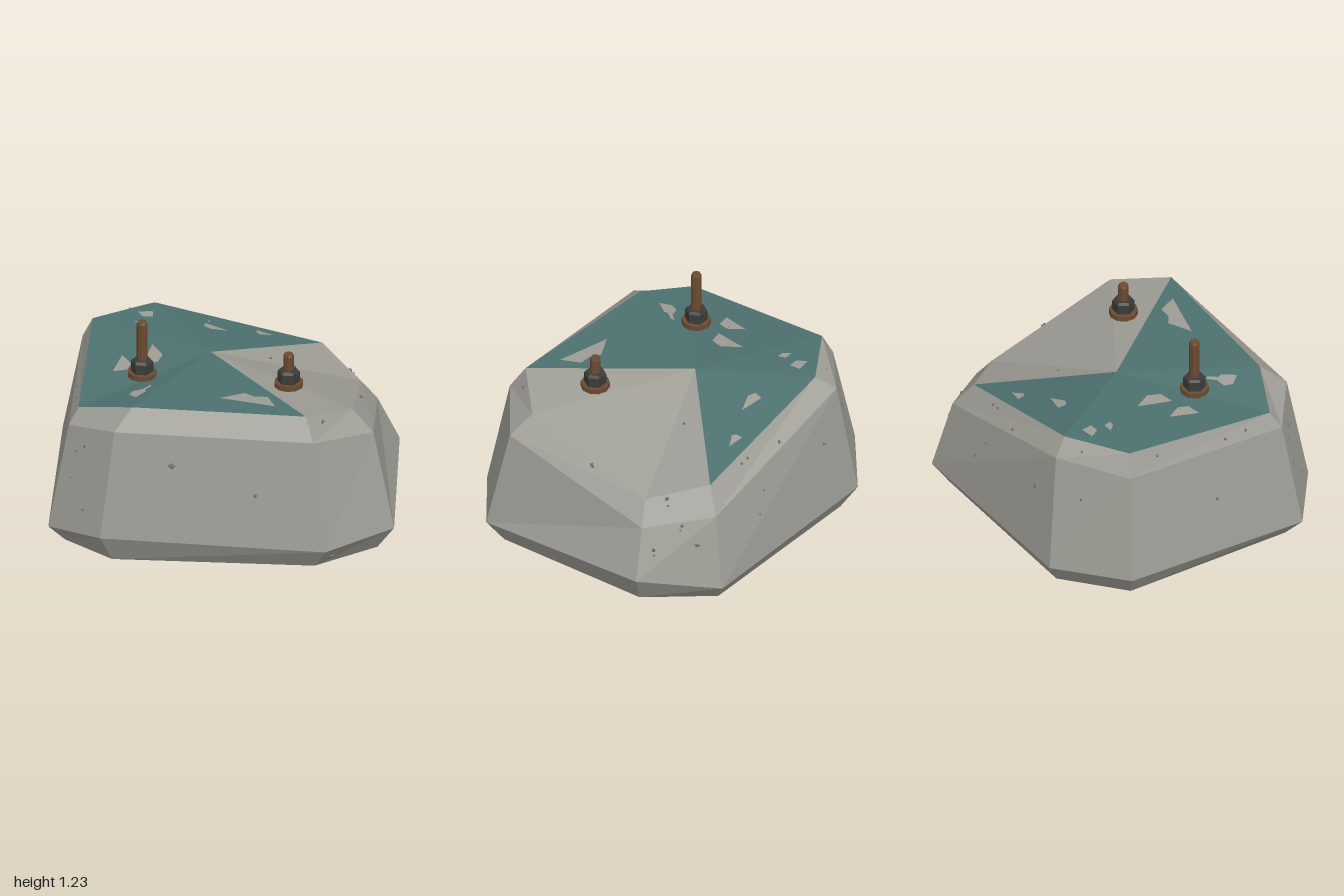
import * as THREE from 'three';

const mat = (name, color) => {
  const m = new THREE.MeshStandardMaterial({ color });
  m.name = name;
  return m;
};

// Eight-cornered rings, counterclockwise from above, from the base upward: [x, y, z]
const RINGS = [
  [[0.9, 0, 0.48], [0.83, 0, -0.47], [0.53, 0, -0.8], [-0.58, 0, -0.76],
    [-0.9, 0, -0.46], [-0.87, 0, 0.58], [-0.58, 0, 0.79], [0.57, 0, 0.75]],
  [[1, 0.15, 0.53], [0.92, 0.18, -0.52], [0.59, 0.12, -0.88], [-0.64, 0.14, -0.84],
    [-1, 0.15, -0.51], [-0.96, 0.11, 0.64], [-0.64, 0.17, 0.87], [0.64, 0.13, 0.83]],
  [[0.875, 0.72, 0.46], [0.8, 0.46, -0.46], [0.53, 0.54, -0.78], [-0.56, 0.83, -0.75],
    [-0.88, 0.77, -0.45], [-0.85, 0.73, 0.57], [-0.57, 0.8, 0.77], [0.56, 0.77, 0.73]],
  [[0.75, 0.83, 0.4], [0.71, 0.59, -0.41], [0.46, 0.68, -0.68], [-0.49, 0.9, -0.65],
    [-0.82, 0.9, -0.42], [-0.8, 0.82, 0.52], [-0.48, 0.9, 0.645], [0.51, 0.9, 0.655]],
];
const PEAK = [-0.11, 0.9, -0.08];

// Bare spots in the paint: [x, z] outlines
const CHIPS = [
  [[-0.575, -0.52], [-0.49, -0.535], [-0.48, -0.47], [-0.54, -0.465]],
  [[-0.58, -0.4], [-0.52, -0.405], [-0.505, -0.36], [-0.54, -0.36]],
  [[-0.185, -0.51], [-0.05, -0.48], [-0.15, -0.44], [-0.19, -0.46]],
  [[0.095, -0.605], [0.19, -0.59], [0.12, -0.55], [0.1, -0.565]],
  [[-0.45, -0.145], [-0.38, -0.04], [-0.4, 0.04], [-0.485, 0.065]],
  [[-0.61, -0.03], [-0.55, 0.06], [-0.565, 0.125], [-0.645, 0.145]],
  [[-0.41, 0.33], [-0.4, 0.35], [-0.435, 0.4], [-0.425, 0.42], [-0.475, 0.5],
    [-0.52, 0.445], [-0.505, 0.395], [-0.45, 0.38]],
  [[0.135, 0.41], [0.19, 0.445], [0.27, 0.445], [0.325, 0.555], [0, 0.485]],
];

// Stones showing on each side, as [a, b, radius]
const STONES = {
  front: [[-0.24, 0.61, 0.024], [0.24, 0.45, 0.017], [-0.75, 0.65, 0.013], [-0.8, 0.6, 0.01],
    [-0.75, 0.29, 0.013], [-0.83, 0.44, 0.008], [-0.69, 0.04, 0.013], [0.67, 0.06, 0.015]],
  right: [[0.74, 0.06, 0.014], [0.6, 0.84, 0.012], [-0.04, 0.68, 0.014], [-0.51, 0.6, 0.018],
    [-0.53, 0.57, 0.01], [-0.55, 0.35, 0.015], [-0.73, 0.38, 0.015], [-0.64, 0.46, 0.01],
    [0.29, 0.11, 0.008], [-0.62, 0.03, 0.012]],
  top: [[-0.7, -0.67, 0.012], [-0.63, -0.62, 0.01], [-0.07, -0.74, 0.013], [0.16, -0.7, 0.012],
    [0.21, -0.7, 0.013], [0.13, -0.8, 0.01], [0.63, -0.74, 0.012], [0.66, -0.64, 0.013],
    [0.81, -0.56, 0.011], [0.75, -0.05, 0.014], [0.21, -0.27, 0.012], [0.6, 0.59, 0.013],
    [-0.17, -0.555, 0.014], [-0.57, 0.065, 0.009], [-0.84, -0.25, 0.012], [-0.84, 0.2, 0.012],
    [-0.83, 0.34, 0.012]],
  left: [[0.1, 0.45, 0.013]],
  back: [[0.2, 0.4, 0.012], [-0.4, 0.55, 0.014]],
};

// Ray origin and direction for each side
const CAST = {
  front: (a, b) => [[a, b, 3], [0, 0, -1]],
  back: (a, b) => [[a, b, -3], [0, 0, 1]],
  right: (a, b) => [[3, b, a], [-1, 0, 0]],
  left: (a, b) => [[-3, b, a], [1, 0, 0]],
  top: (a, b) => [[a, 3, b], [0, -1, 0]],
};

function facets(triangles) {
  const g = new THREE.BufferGeometry();
  g.setAttribute('position', new THREE.Float32BufferAttribute(triangles.flat(2), 3));
  g.computeVertexNormals();
  return g;
}

export function createModel() {
  const model = new THREE.Group();
  model.name = 'anchorBlock';
  const concrete = mat('concrete', 0x9c9b94);
  const paint = mat('teal paint', 0x4c706e);
  const stone = mat('stone', 0x6e6d68);
  const rust = mat('rust', 0x6b4a30);
  const steel = mat('dark steel', 0x3b3b3a);
  const add = (parent, name, geometry, material) => {
    const mesh = new THREE.Mesh(geometry, material);
    mesh.name = name;
    parent.add(mesh);
    return mesh;
  };

  // Block: side bands, underside, and a top fan split into bare and painted facets
  const bare = [], painted = [];
  for (let i = 0; i < 8; i++) {
    const j = (i + 1) % 8;
    for (let k = 0; k < 3; k++) {
      const lo = RINGS[k], hi = RINGS[k + 1];
      bare.push([lo[i], lo[j], hi[j]], [lo[i], hi[j], hi[i]]);
    }
    bare.push([[0, 0, 0], RINGS[0][j], RINGS[0][i]]);
    const isPainted = i >= 2 && i <= 6;
    (isPainted ? painted : bare).push([PEAK, RINGS[3][i], RINGS[3][j]]);
  }
  const surfaces = [
    add(model, 'concreteBlock', facets(bare), concrete),
    add(model, 'paintedTop', facets(painted), paint),
  ];

  const ray = new THREE.Raycaster();
  const hit = (side, a, b) => {
    const [from, dir] = CAST[side](a, b);
    ray.set(new THREE.Vector3(...from), new THREE.Vector3(...dir));
    return ray.intersectObjects(surfaces)[0];
  };

  // Paint chips laid just above the painted top
  const chips = new THREE.Group();
  chips.name = 'paintChips';
  model.add(chips);
  for (const outline of CHIPS) {
    const shape = new THREE.Shape(outline.map(([x, z]) => new THREE.Vector2(x, -z)));
    const g = new THREE.ShapeGeometry(shape).rotateX(-Math.PI / 2);
    const p = g.attributes.position;
    for (let i = 0; i < p.count; i++) {
      const h = hit('top', p.getX(i), p.getZ(i));
      p.setY(i, (h ? h.point.y : 0.9) + 0.004);
    }
    g.computeVertexNormals();
    add(chips, 'paintChip', g, concrete);
  }

  // Stones half sunk in the surface
  const stones = new THREE.Group();
  stones.name = 'stones';
  model.add(stones);
  let n = 0;
  for (const [side, list] of Object.entries(STONES)) {
    for (const [a, b, r] of list) {
      const h = hit(side, a, b);
      if (!h) continue;
      const s = add(stones, 'stone', new THREE.OctahedronGeometry(r), stone);
      s.position.copy(h.point);
      s.rotation.set(n * 1.3, n * 2.1, n * 0.7);
      s.scale.set(1, 0.8, 0.9);
      n++;
    }
  }

  // Anchor bolts: washer, hex nut and threaded rod
  const cyl = (r0, r1, y0, y1, sides) => new THREE.CylinderGeometry(r1, r0, y1 - y0, sides)
    .toNonIndexed().translate(0, (y0 + y1) / 2, 0);
  for (const [x, z, top] of [[-0.47, 0.22, 1.23], [0.37, 0.255, 1.09]]) {
    const bolt = new THREE.Group();
    bolt.name = 'anchorBolt';
    bolt.position.set(x, 0, z);
    model.add(bolt);
    const parts = [
      ['washer', cyl(0.083, 0.083, 0.885, 0.915, 10), rust],
      ['nut', cyl(0.064, 0.064, 0.915, 0.975, 6).rotateY(Math.PI / 6), steel],
      ['nutChamfer', cyl(0.064, 0.052, 0.975, 0.99, 6).rotateY(Math.PI / 6), steel],
      ['rod', cyl(0.031, 0.031, 0.87, top - 0.015, 8), rust],
      ['rodTip', cyl(0.031, 0.024, top - 0.015, top, 8), rust],
    ];
    for (const [name, g, m] of parts) {
      g.computeVertexNormals();
      add(bolt, name, g, m);
    }
  }
  return model;
}
